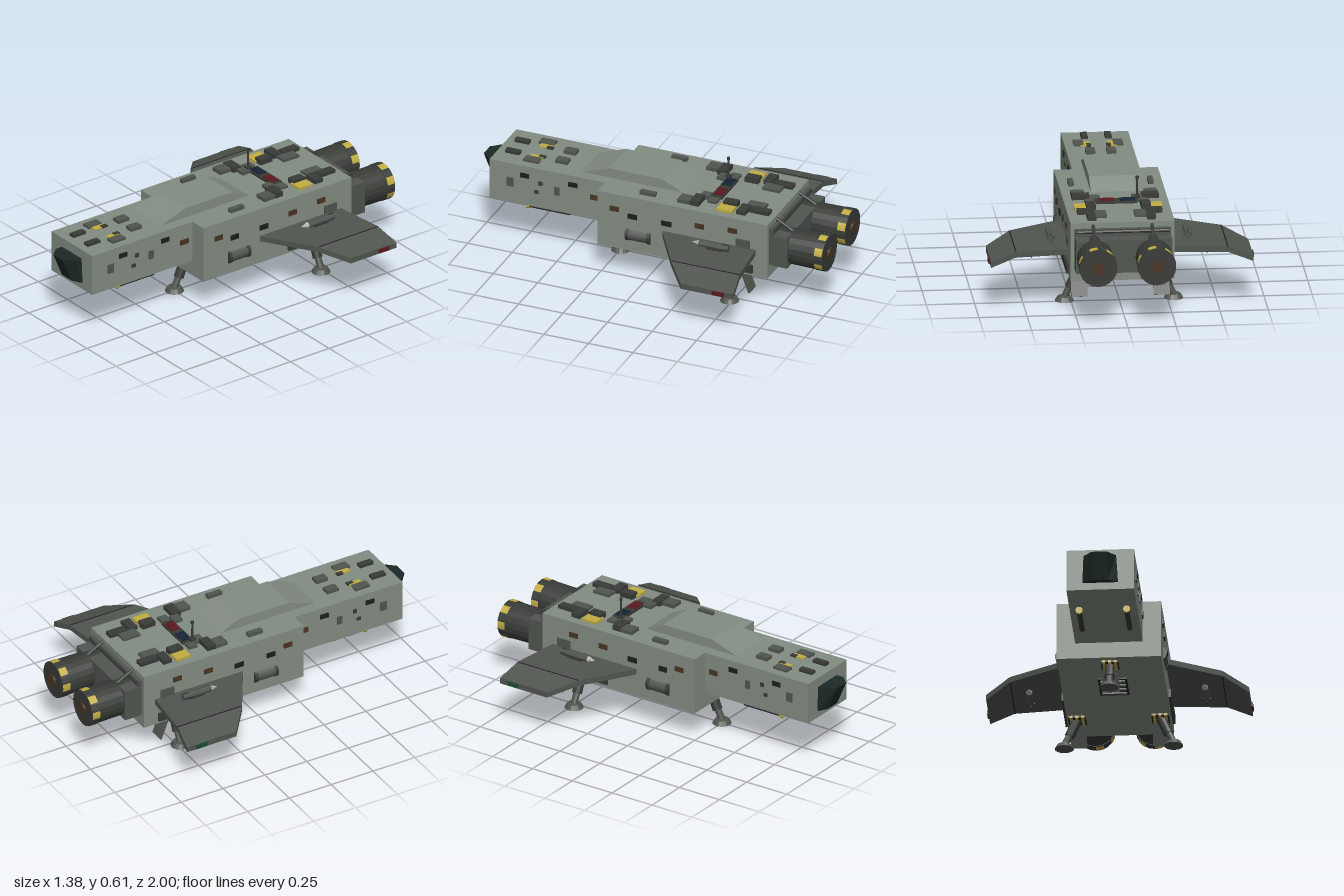
import * as THREE from 'three';

const mat = (color) => new THREE.MeshStandardMaterial({ color, flatShading: true });
const M = {
  hull: mat(0x838c82), grey: mat(0x50554f), dark: mat(0x393b37), black: mat(0x1e1f1d),
  yellow: mat(0xc2ad42), glass: mat(0x1c2927), brown: mat(0x4a3522),
  navy: mat(0x172335), red: mat(0x5a1a1e), green: mat(0x1b4a30), tip: mat(0xb0b0ac),
};

// Solid skinned over equal-length cross-section loops, capped at both ends
function loft(sections) {
  const v = sections.map((s) => s.map((p) => new THREE.Vector3(...p)));
  const n = v[0].length, tris = [];
  for (let i = 0; i < v.length - 1; i++) {
    for (let j = 0; j < n; j++) {
      const k = (j + 1) % n;
      tris.push([v[i][j], v[i][k], v[i + 1][k]], [v[i][j], v[i + 1][k], v[i + 1][j]]);
    }
  }
  const last = v[v.length - 1];
  for (let j = 1; j < n - 1; j++) tris.push([v[0][0], v[0][j + 1], v[0][j]], [last[0], last[j], last[j + 1]]);
  // Turn the faces outward whichever way the loops run
  const volume = tris.reduce((s, [a, b, c]) => s + a.dot(b.clone().cross(c)), 0);
  const pts = tris.flatMap(([a, b, c]) => (volume < 0 ? [a, c, b] : [a, b, c]));
  const g = new THREE.BufferGeometry().setFromPoints(pts);
  g.computeVertexNormals();
  return g;
}

export function createModel() {
  const root = new THREE.Group();
  root.name = 'dropship';

  const add = (name, geo, m, x = 0, y = 0, z = 0, parent = root) => {
    const mesh = new THREE.Mesh(geo, m);
    mesh.name = name;
    mesh.position.set(x, y, z);
    parent.add(mesh);
    return mesh;
  };
  const box = (name, m, w, h, d, x, y, z, parent) => add(name, new THREE.BoxGeometry(w, h, d), m, x, y, z, parent);
  // Cylinder along z; rFront is the +z end
  const rod = (name, m, rFront, rBack, len, x, y, z, sides = 12, parent) =>
    add(name, new THREE.CylinderGeometry(rFront, rBack, len, sides).rotateX(Math.PI / 2), m, x, y, z, parent);
  // Cylinder between two points
  const strut = (name, m, a, b, r, parent) => {
    const p = new THREE.Vector3(...a), d = new THREE.Vector3(...b).sub(p);
    const mesh = add(name, new THREE.CylinderGeometry(r, r, d.length(), 10), m, 0, 0, 0, parent);
    mesh.position.copy(p).addScaledVector(d, 0.5);
    mesh.quaternion.setFromUnitVectors(new THREE.Vector3(0, 1, 0), d.normalize());
  };

  // Hull
  box('mainHull', M.hull, 0.54, 0.312, 0.955, 0, 0.321, -0.215);
  box('forwardHull', M.hull, 0.35, 0.226, 0.66, 0, 0.364, 0.58);
  const hump = (x) => [[x, 0.47, 0.44], [x, 0.53, 0.265], [x, 0.53, -0.04], [x, 0.47, -0.16]];
  add('dorsalHump', loft([hump(-0.115), hump(0.115)]), M.hull);

  // Faceted cockpit glass leaning forward at the top
  const pane = (y, w, zSide, wFront, zFront) => [
    [-w, y, 0.9], [-w, y, zSide], [-wFront, y, zFront], [wFront, y, zFront], [w, y, zSide], [w, y, 0.9]];
  add('cockpitGlass', loft([pane(0.29, 0.092, 0.917, 0.042, 0.942), pane(0.425, 0.084, 0.95, 0.04, 1)]), M.glass);

  // Engine mount
  box('rearPlate', M.grey, 0.5, 0.21, 0.025, 0, 0.342, -0.702);
  box('engineBlock', M.grey, 0.5, 0.175, 0.09, 0, 0.322, -0.748);
  const pipe = rod('rearPipe', M.dark, 0.01, 0.01, 0.48, 0, 0.435, -0.715, 8);
  pipe.rotation.y = Math.PI / 2;

  // Roof panels: material, width, depth, x, z, height
  const roof = [
    [M.dark, 0.034, 0.08, 0.062, 0.825, 0.016], [M.grey, 0.05, 0.085, 0.103, 0.7, 0.012],
    [M.yellow, 0.05, 0.07, 0.07, 0.69, 0.007], [M.dark, 0.022, 0.035, 0.052, 0.665, 0.01],
    [M.grey, 0.048, 0.068, 0.055, 0.55, 0.018], [M.grey, 0.028, 0.085, 0.207, 0.005, 0.02],
    [M.grey, 0.068, 0.07, 0.19, -0.2, 0.02], [M.dark, 0.09, 0.05, 0.18, -0.26, 0.026],
    [M.grey, 0.055, 0.05, 0.11, -0.28, 0.018], [M.grey, 0.05, 0.05, 0.14, -0.335, 0.014],
    [M.yellow, 0.075, 0.085, 0.19, -0.43, 0.014], [M.dark, 0.05, 0.075, 0.143, -0.435, 0.028],
    [M.dark, 0.085, 0.05, 0.178, -0.52, 0.022], [M.grey, 0.065, 0.1, 0.105, -0.563, 0.014],
    [M.dark, 0.045, 0.105, 0.155, -0.605, 0.02],
  ];
  // Side windows and hatches: material, z, y, length, height
  const sides = [
    [M.grey, 0.793, 0.37, 0.037, 0.05], [M.black, 0.712, 0.423, 0.05, 0.025],
    [M.dark, 0.623, 0.395, 0.022, 0.022], [M.dark, 0.645, 0.342, 0.022, 0.018],
    [M.grey, 0.532, 0.37, 0.028, 0.045], [M.black, 0.44, 0.426, 0.05, 0.025],
    [M.brown, 0.317, 0.378, 0.05, 0.027], [M.brown, 0.168, 0.393, 0.05, 0.027],
    [M.black, 0.065, 0.367, 0.05, 0.027], [M.black, -0.125, 0.367, 0.055, 0.027],
    [M.brown, -0.31, 0.392, 0.05, 0.027], [M.brown, -0.495, 0.405, 0.05, 0.027],
    [M.grey, -0.555, 0.34, 0.08, 0.05],
  ];

  for (const s of [1, -1]) {
    roof.forEach(([m, w, d, x, z, h]) => box('roofPanel', m, w, h + 0.01, d, s * x, 0.472 + h / 2, z));
    sides.forEach(([m, z, y, d, h]) => box('sideWindow', m, 0.014, h, d, s * (z > 0.26 ? 0.175 : 0.27), y, z));
    box('sideSkirt', M.dark, 0.024, 0.045, 0.33, s * 0.272, 0.205, -0.445);

    // Wing with drooped tip: x, centre height, leading z, trailing z
    const wing = new THREE.Group();
    wing.name = s > 0 ? 'leftWing' : 'rightWing';
    root.add(wing);
    const rib = ([x, y, lead, trail]) => [
      [s * x, y + 0.015, lead], [s * x, y + 0.015, trail], [s * x, y - 0.015, trail], [s * x, y - 0.015, lead]];
    add('wingPanel', loft([[0.26, 0.304, -0.095, -0.625], [0.55, 0.304, -0.27, -0.655], [0.68, 0.258, -0.38, -0.675]].map(rib)),
      M.grey, 0, 0, 0, wing);
    box('wingSeam', M.black, 0.006, 0.032, 0.38, s * 0.549, 0.304, -0.464, wing);
    box('tipLight', s > 0 ? M.red : M.green, 0.012, 0.022, 0.065, s * 0.682, 0.259, -0.59, wing);
    for (const [x, y, py] of [[0.355, 0.343, 0.325], [0.455, 0.262, 0.283]]) {
      box('missilePylon', M.dark, 0.014, 0.03, 0.09, s * x, py, -0.43, wing);
      rod('missileBody', M.grey, 0.017, 0.017, 0.165, s * x, y, -0.428, 8, wing);
      rod('missileTip', M.tip, 0.001, 0.017, 0.04, s * x, y, -0.326, 8, wing);
      box('missileFin', M.dark, 0.042, 0.005, 0.03, s * x, y, -0.495, wing);
      box('missileFin', M.dark, 0.005, 0.042, 0.03, s * x, y, -0.495, wing);
    }

    // Side tank
    rod('sideTank', M.grey, 0.034, 0.034, 0.13, s * 0.254, 0.256, 0.035, 14);
    for (const z of [0.095, -0.025]) rod('tankBand', M.dark, 0.04, 0.04, 0.018, s * 0.25, 0.256, z, 14);

    // Lamp under the forward hull
    rod('lampTube', M.dark, 0.014, 0.014, 0.23, s * 0.123, 0.228, 0.593, 10);
    rod('lampLens', M.yellow, 0.019, 0.017, 0.018, s * 0.123, 0.226, 0.712, 10);
    for (const z of [0.53, 0.65]) box('lampMount', M.dark, 0.018, 0.025, 0.03, s * 0.123, 0.242, z);

    // Engine with warning-striped nozzle ring
    const ex = s * 0.152, ey = 0.32;
    rod('engineBody', M.dark, 0.093, 0.097, 0.25, ex, ey, -0.835, 20);
    rod('nozzleRing', M.dark, 0.099, 0.099, 0.05, ex, ey, -0.964, 20);
    rod('nozzleCore', M.brown, 0.032, 0.032, 0.02, ex, ey, -0.99, 12);
    for (let i = 0; i < 7; i++) {
      add('warningStripe', new THREE.CylinderGeometry(0.1005, 0.1005, 0.044, 3, 1, true, (i * Math.PI * 2) / 7, 0.42)
        .rotateX(Math.PI / 2), M.yellow, ex, ey, -0.965);
    }
    strut('fuelPipe', M.dark, [ex, 0.465, -0.68], [ex, 0.4, -0.8], 0.009);
  }

  // Roof console and antenna
  box('consoleBase', M.dark, 0.215, 0.02, 0.062, 0, 0.48, -0.335);
  box('consoleScreen', M.navy, 0.078, 0.026, 0.05, -0.057, 0.481, -0.335);
  box('consoleScreen', M.red, 0.078, 0.026, 0.05, 0.052, 0.481, -0.335);
  box('antennaBase', M.dark, 0.03, 0.03, 0.03, -0.11, 0.488, -0.31);
  add('antennaMast', new THREE.CylinderGeometry(0.005, 0.007, 0.12, 8), M.dark, -0.11, 0.535, -0.31);
  add('antennaTip', new THREE.CylinderGeometry(0.009, 0.009, 0.014, 8), M.dark, -0.11, 0.599, -0.31);

  // Belly vent
  box('bellyVent', M.black, 0.15, 0.008, 0.2, 0, 0.163, -0.09);
  for (let i = 0; i < 4; i++) box('ventSlat', M.grey, 0.13, 0.016, 0.025, 0, 0.158, -0.018 - i * 0.048);

  // Landing gear: top (x, z) and foot (x, z)
  const gear = (name, tx, tz, fx, fz, doorX, doorZ, tilt) => {
    const g = new THREE.Group();
    g.name = name;
    root.add(g);
    box('bayPlate', M.black, 0.09, 0.012, 0.1, tx, 0.16, tz, g);
    for (const k of [-1, 0, 1]) box('bayStripe', M.yellow, 0.016, 0.014, 0.102, tx + k * 0.03, 0.159, tz, g);
    strut('upperLeg', M.dark, [tx, 0.165, tz], [tx + (fx - tx) * 0.6, 0.07, tz + (fz - tz) * 0.6], 0.026, g);
    strut('lowerLeg', M.grey, [tx, 0.16, tz], [fx, 0.02, fz], 0.018, g);
    add('footPad', new THREE.CylinderGeometry(0.036, 0.05, 0.024, 14), M.grey, fx, 0.012, fz, g);
    const door = box('bayDoor', M.grey, 0.085, 0.12, 0.006, doorX, 0.102, doorZ, g);
    door.rotation.x = tilt;
  };
  gear('frontGear', 0, 0.18, 0, 0.248, 0, 0.115, 0.37);
  for (const s of [1, -1]) gear(s > 0 ? 'rearLeftGear' : 'rearRightGear', s * 0.215, -0.485, s * 0.283, -0.485, s * 0.213, -0.56, 0.37);

  return root;
}
